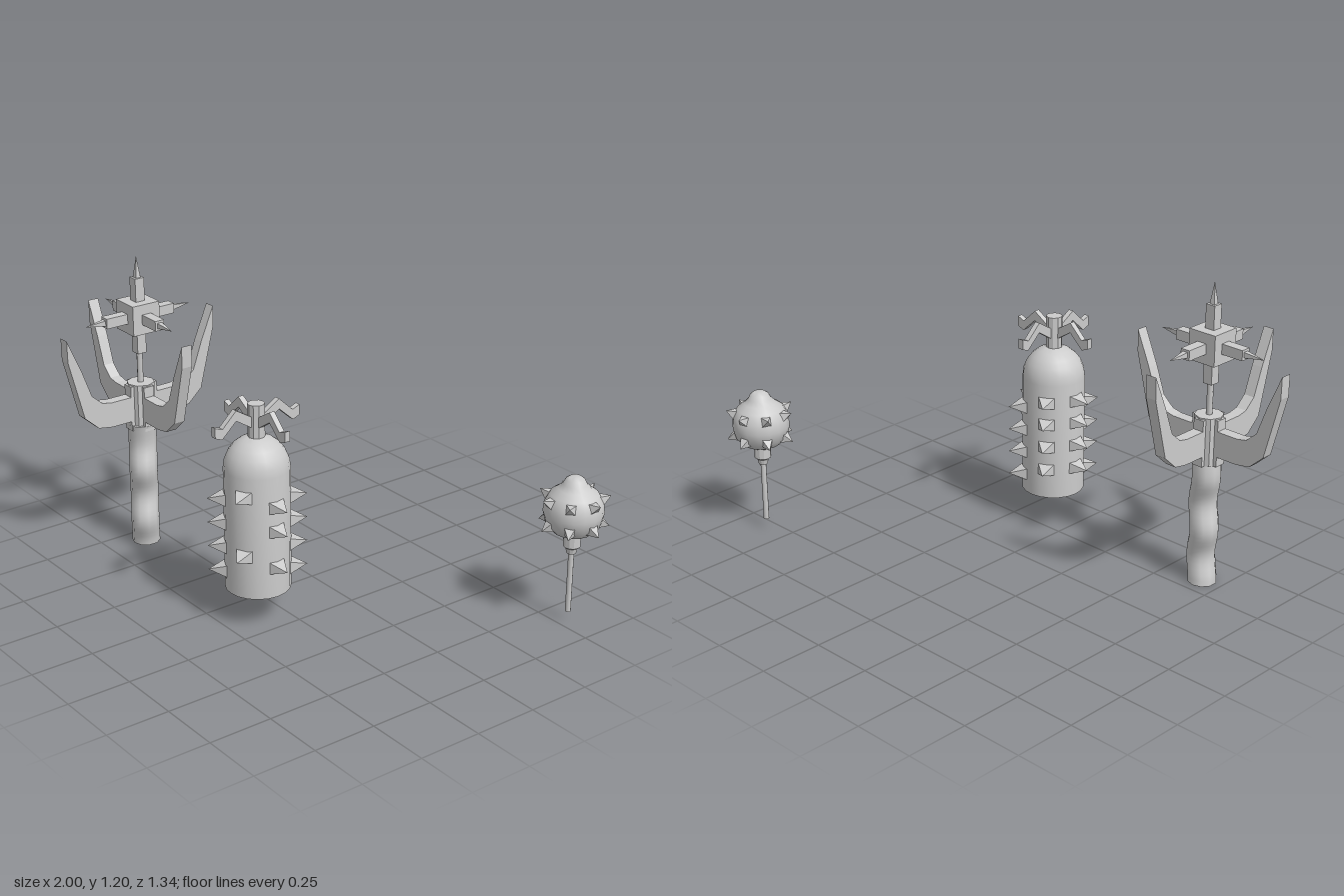
import * as THREE from 'three';
import { toCreasedNormals } from 'three/addons/utils/BufferGeometryUtils.js';

const smooth = new THREE.MeshStandardMaterial({ color: 0xcccccc });
const flat = new THREE.MeshStandardMaterial({ color: 0xcccccc, flatShading: true });

function add(parent, name, geometry, material = flat, x = 0, y = 0, z = 0) {
  const mesh = new THREE.Mesh(geometry, material);
  mesh.name = name;
  mesh.position.set(x, y, z);
  parent.add(mesh);
  return mesh;
}

// Flat outline of [radius, height] points, thickened around its middle plane
function plate(points, width) {
  const shape = new THREE.Shape(points.map(p => new THREE.Vector2(...p)));
  return new THREE.ExtrudeGeometry(shape, { depth: width, bevelEnabled: false })
    .translate(0, 0, -width / 2);
}

// Turned solid from [radius, height] points, listed bottom to top
function turned(points, segments, crease = 0.6) {
  const g = new THREE.LatheGeometry(points.map(p => new THREE.Vector2(...p)), segments);
  return toCreasedNormals(g, crease);
}

// Four-sided spike pointing along +x, with its base at the origin
function spike(width, height, length) {
  return new THREE.ConeGeometry(Math.SQRT1_2, 1, 4, 1).rotateY(Math.PI / 4)
    .translate(0, 0.5, 0).rotateZ(-Math.PI / 2).scale(length, height, width);
}

function createScepter() {
  const g = new THREE.Group();
  g.name = 'scepter';

  // Twisting handle
  const handle = new THREE.CylinderGeometry(0.056, 0.056, 0.52, 10, 26).translate(0, 0.26, 0);
  const p = handle.attributes.position;
  for (let i = 0; i < p.count; i++) {
    const s = 1 - Math.cos((p.getY(i) / 0.22) * Math.PI * 2);
    const fade = p.getY(i) > 0.44 ? 0.4 : 1;
    p.setX(i, p.getX(i) + 0.012 * s * fade);
    p.setZ(i, p.getZ(i) + 0.008 * s * fade);
  }
  add(g, 'handle', toCreasedNormals(handle, 0.8), smooth);

  // Hub and four curved prongs
  add(g, 'hub', new THREE.CylinderGeometry(0.055, 0.055, 0.19, 8), flat, 0, 0.595, 0);
  const prong = plate([
    [0, 0.54], [0.15, 0.54], [0.21, 0.55], [0.27, 0.605], [0.333, 0.85], [0.334, 0.937],
    [0.275, 0.8], [0.235, 0.69], [0.19, 0.65], [0.15, 0.642], [0, 0.642],
  ], 0.045);
  for (let i = 0; i < 4; i++) {
    add(g, 'prong', prong).rotation.y = i * Math.PI / 2;
    const rib = new THREE.Group();
    rib.rotation.y = i * Math.PI / 2;
    add(rib, 'hubRib', new THREE.BoxGeometry(0.03, 0.185, 0.045), flat, 0.045, 0.592, 0);
    g.add(rib);
  }

  // Spiked cube held up by a thin rod
  add(g, 'rod', new THREE.CylinderGeometry(0.012, 0.012, 0.2, 8), smooth, 0, 0.76, 0);
  const head = new THREE.Group();
  head.name = 'head';
  head.position.y = 0.966;
  g.add(head);
  add(head, 'cube', new THREE.BoxGeometry(0.12, 0.12, 0.12));
  const bar = new THREE.BoxGeometry(0.1, 0.04, 0.04).translate(0.103, 0, 0);
  const needle = spike(0.022, 0.022, 0.086).translate(0.152, 0, 0);
  const turns = [[0, 0], [Math.PI / 2, 0], [Math.PI, 0], [-Math.PI / 2, 0],
    [0, Math.PI / 2], [0, -Math.PI / 2]];
  turns.forEach(([ry, rz], i) => {
    add(head, 'headArm', bar).rotation.set(0, ry, rz);
    if (i < 5) add(head, 'headSpike', needle).rotation.set(0, ry, rz);
  });
  return g;
}

function createCanister() {
  const g = new THREE.Group();
  g.name = 'canister';

  // Cylinder body with a domed top
  const profile = [[0, 0.13], [0.124, 0.13], [0.124, 0.61]];
  for (let i = 1; i <= 6; i++) {
    const a = (i / 6) * Math.PI / 2;
    profile.push([i === 6 ? 0 : 0.124 * Math.cos(a), 0.61 + 0.127 * Math.sin(a)]);
  }
  add(g, 'body', turned(profile, 20), smooth);
  add(g, 'neck', new THREE.CylinderGeometry(0.032, 0.032, 0.14, 10), flat, 0, 0.79, 0);

  // Zigzag valve handles
  const lever = plate([
    [0, 0.765], [0.03, 0.775], [0.095, 0.817], [0.157, 0.76], [0.187, 0.772],
    [0.187, 0.812], [0.155, 0.8], [0.095, 0.857], [0.03, 0.817], [0, 0.81],
  ], 0.022);
  for (let i = 0; i < 4; i++) add(g, 'valveHandle', lever).rotation.y = i * Math.PI / 2;

  // Six columns of spikes, 60 degrees apart, starting at +x and going to the back
  const high = [0.538, 0.446, 0.35, 0.252];
  const low = [0.494, 0.398, 0.302, 0.205];
  const columns = [[0.494, 0.398, 0.252], low, high, high, low, [0.538, 0.302]];
  const stud = spike(0.066, 0.048, 0.068).translate(0.117, 0, 0);
  columns.forEach((heights, i) => {
    for (const y of heights) add(g, 'bodySpike', stud, flat, 0, y, 0).rotation.y = i * Math.PI / 3;
  });
  return g;
}

function createMace() {
  const g = new THREE.Group();
  g.name = 'mace';

  // Thin grip and stepped collar
  add(g, 'grip', new THREE.CylinderGeometry(0.011, 0.011, 0.27, 10), smooth, 0, 0.175, 0);
  add(g, 'collar', turned([
    [0, 0.283], [0.018, 0.283], [0.023, 0.305], [0.033, 0.312], [0.033, 0.37],
  ], 12, 0.4), smooth);

  // Round head with a bulging cap
  add(g, 'ball', turned([
    [0, 0.355], [0.035, 0.355], [0.075, 0.375], [0.102, 0.405], [0.113, 0.45], [0.108, 0.49],
    [0.09, 0.525], [0.062, 0.545], [0.045, 0.562], [0.036, 0.58], [0.022, 0.59], [0, 0.592],
  ], 16, 0.9), smooth);

  // Two rings of seven spikes, tilted away from the middle
  const stud = spike(0.046, 0.046, 0.05).translate(0.097, 0, 0);
  for (let i = 0; i < 7; i++) {
    for (const tilt of [0.43, -0.43]) {
      const m = add(g, 'ballSpike', stud, flat, 0, 0.455, 0);
      m.rotation.set(0, (i / 7) * Math.PI * 2, tilt);
    }
  }
  return g;
}

export function createModel() {
  const model = new THREE.Group();
  model.name = 'weaponSet';
  const scepter = createScepter();
  scepter.position.set(-0.667, 0, 0.337);
  const canister = createCanister();
  canister.position.set(0.128, 0, 0.35);
  const mace = createMace();
  mace.position.set(0.862, 0, -0.542);
  model.add(scepter, canister, mace);
  return model;
}
